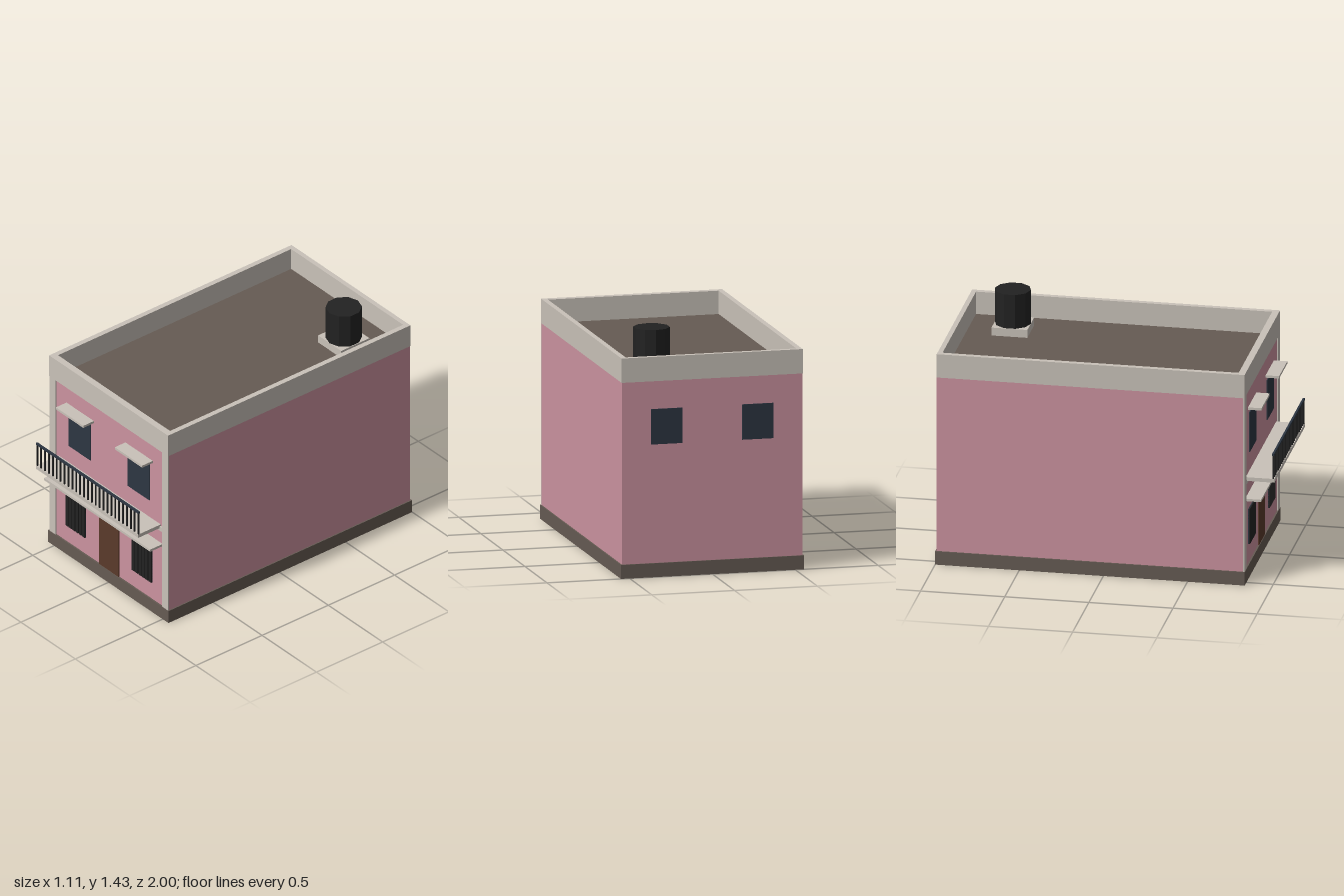
import * as THREE from 'three';

const mat = (name, color, side = THREE.FrontSide) => {
  const m = new THREE.MeshStandardMaterial({ color, side });
  m.name = name;
  return m;
};

export function createModel() {
  const pink = mat('pink plaster', 0xcc93a0);
  const cream = mat('cream trim', 0xc9c2b9);
  const brown = mat('brown stone', 0x665b53, THREE.DoubleSide);
  const slate = mat('slate glass', 0x2d3642);
  const black = mat('black metal', 0x222222);
  const wood = mat('door wood', 0x5a3a2b);

  const house = new THREE.Group();
  house.name = 'house';

  const add = (name, geometry, material, parent = house) => {
    const mesh = new THREE.Mesh(geometry, material);
    mesh.name = name;
    parent.add(mesh);
    return mesh;
  };
  // Box given by its limits on each axis
  const box = (name, material, [x0, x1], [y0, y1], [z0, z1], parent) => {
    const m = add(name, new THREE.BoxGeometry(x1 - x0, y1 - y0, z1 - z0), material, parent);
    m.position.set((x0 + x1) / 2, (y0 + y1) / 2, (z0 + z1) / 2);
    return m;
  };
  const group = (name) => {
    const g = new THREE.Group();
    g.name = name;
    house.add(g);
    return g;
  };

  const back = -0.992, front = 0.83, face = 0.838;
  const base = 0.083, wallTop = 1.165;

  // Plinth: a shell open underneath (drop the bottom face of the box)
  const plinth = box('plinth', brown, [-0.553, 0.553], [0, base], [-1, 0.84]);
  const index = Array.from(plinth.geometry.index.array);
  index.splice(18, 6);
  plinth.geometry.setIndex(index);
  plinth.geometry.clearGroups();

  // Walls
  box('walls', pink, [-0.545, 0.545], [base, wallTop], [back, front]);

  // Parapet ring around the flat roof
  const ring = new THREE.Shape();
  const rect = (path, x, z0, z1) =>
    path.moveTo(-x, -z0).lineTo(x, -z0).lineTo(x, -z1).lineTo(-x, -z1).closePath();
  rect(ring, 0.547, face, back);
  const hole = new THREE.Path();
  rect(hole, 0.515, 0.797, -0.963);
  ring.holes.push(hole);
  const parapet = add('parapet',
    new THREE.ExtrudeGeometry(ring, { depth: 1.31 - wallTop, bevelEnabled: false }), cream);
  parapet.rotation.x = -Math.PI / 2;
  parapet.position.y = wallTop;
  box('roof', brown, [-0.52, 0.52], [wallTop - 0.005, 1.171], [-0.97, 0.8]);

  // Water tank on its base
  box('tankBase', cream, [0.182, 0.395], [1.17, 1.22], [-0.807, -0.594]);
  add('waterTank', new THREE.CylinderGeometry(0.107, 0.107, 0.21, 10).toNonIndexed(), black)
    .position.set(0.289, 1.325, -0.7);
  house.getObjectByName('waterTank').geometry.computeVertexNormals();

  // Facade trim
  box('floorBand', cream, [-0.49, 0.49], [0.605, 0.635], [front, face]);
  box('cornice', cream, [-0.488, 0.488], [0.502, 0.517], [front, 0.925]);
  box('balconySlab', cream, [-0.47, 0.47], [0.622, 0.645], [front, 1]);
  box('door', wood, [-0.09, 0.09], [base, 0.468], [front, 0.837]);
  box('doorLintel', cream, [-0.112, 0.112], [0.468, 0.491], [front, 0.845]);

  // Mirrored pilasters, windows and hoods
  for (const s of [-1, 1]) {
    const side = s > 0 ? 'left' : 'right';
    const span = (a, b) => (s > 0 ? [a, b] : [-b, -a]);
    box(side + 'Pilaster', cream, span(0.49, 0.546), [base, wallTop], [front, face]);
    box(side + 'UpperWindow', slate, span(0.17, 0.372), [0.765, 1.012], [front, 0.836]);
    box(side + 'WindowHood', cream, span(0.145, 0.397), [1.038, 1.053], [front, 0.91]);
    box(side + 'BackWindow', slate, span(0.18, 0.37), [0.79, 1], [-0.998, back]);

    const lower = group(side + 'LowerWindow');
    box('glass', slate, span(0.216, 0.394), [0.2, 0.418], [front, 0.835], lower);
    for (let i = 0; i < 6; i++) {
      const x = s * (0.228 + i * 0.0308);
      box('bar', black, [x - 0.012, x + 0.012], [0.2, 0.418], [front, 0.841], lower);
    }
  }

  // Balcony railing
  const railing = group('railing');
  box('handrail', slate, [-0.472, 0.472], [0.79, 0.803], [0.988, 1], railing);
  const count = 27;
  for (let i = 0; i < count; i++) {
    const x = -0.466 + (0.932 * i) / (count - 1);
    box('baluster', black, [x - 0.004, x + 0.004], [0.645, 0.79], [0.99, 0.998], railing);
  }

  return house;
}
